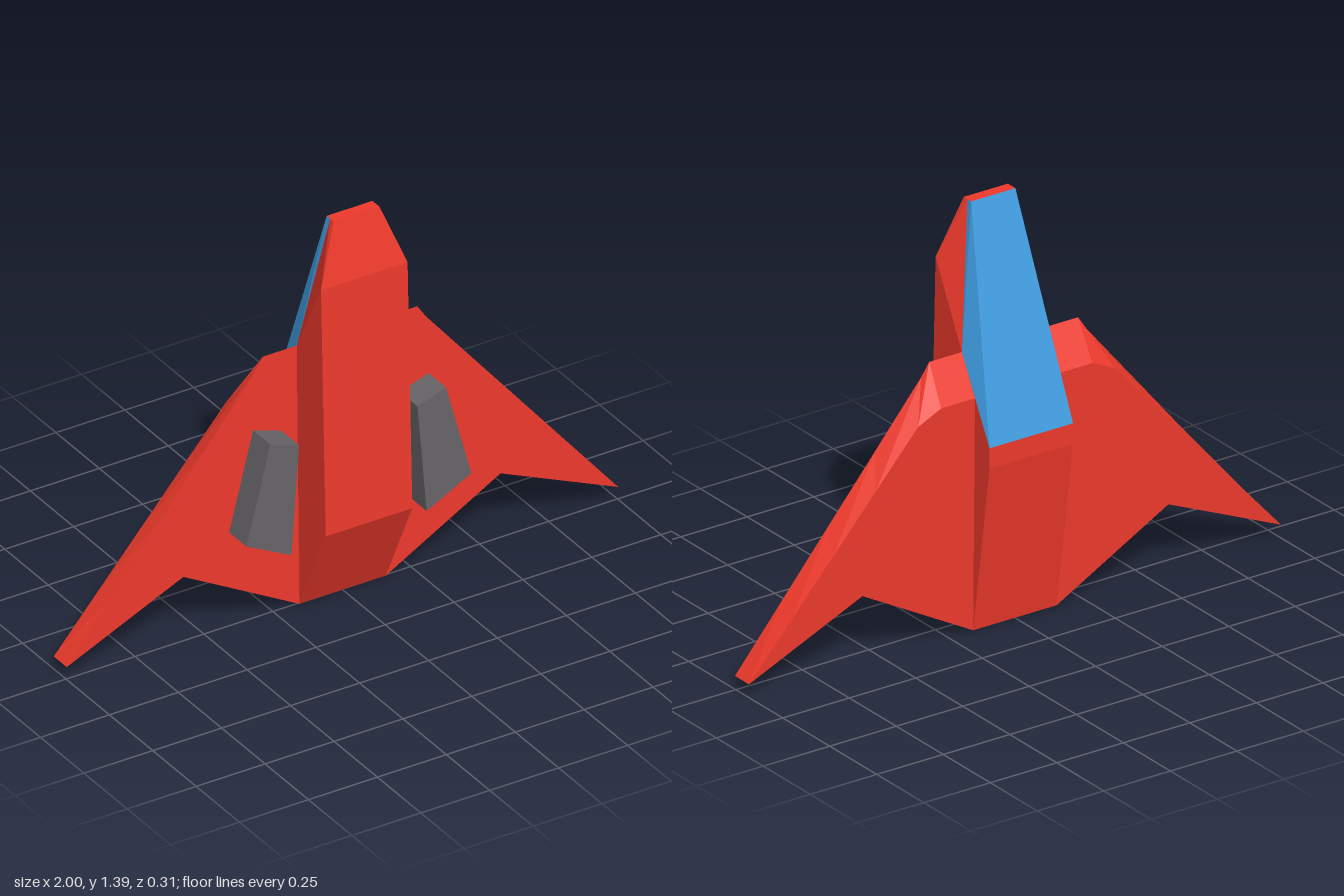
import * as THREE from 'three';

const material = (color) => new THREE.MeshStandardMaterial({ color, flatShading: true });
const red = material(0xee392b), blue = material(0x3f9de2), grey = material(0x676468);

// Mesh from polygons listed counter-clockwise from outside, fanned from their first corner.
function panels(name, faces, mat) {
  const pos = [];
  for (const f of faces)
    for (let i = 1; i < f.length - 1; i++) pos.push(...f[0], ...f[i], ...f[i + 1]);
  const geo = new THREE.BufferGeometry();
  geo.setAttribute('position', new THREE.Float32BufferAttribute(pos, 3));
  geo.computeVertexNormals();
  const mesh = new THREE.Mesh(geo, mat);
  mesh.name = name;
  return mesh;
}

const flip = ([x, y, z]) => [-x, y, z];
// Reverse the winding but keep the corner the fan starts from.
const turn = ([first, ...rest]) => [first, ...rest.reverse()];
const mirror = (faces) => faces.map((f) => turn(f.map(flip)));

// Solid between a front outline and a matching back outline.
function loft(front, back) {
  const faces = [front, turn(back)];
  front.forEach((p, i) => {
    const j = (i + 1) % front.length;
    faces.push([front[j], p, back[i], back[j]]);
  });
  return faces;
}

// Evenly spaced points from a to b, both included.
const line = ([ax, ay], [bx, by], n) => Array.from({ length: n + 1 }, (_, i) =>
  [ax + (bx - ax) * i / n, ay + (by - ay) * i / n]);

export function createModel() {
  const group = new THREE.Group();
  group.name = 'spacecraft';

  // Fuselage stations
  const W = 0.157, N = 0.083;
  const tailFront = [W, 0, 0.005], belly = [W, 0.32, 0.157], chin = [W, 1.19, 0.13];
  const noseFront = [N, 1.39, 0.085], noseMid = [N, 1.39, 0.065], noseBack = [N, 1.39, 0.045];
  const sill = [W, 0.92, -0.01], spineTop = [W, 0.65, -0.157];
  const spineLow = [W, 0.58, -0.157], tailBack = [W, 0, -0.07];
  const strip = (a, b) => [flip(a), a, b, flip(b)];

  // Hull: panels across the width, then both sides
  const across = [
    [tailFront, belly], [belly, chin], [chin, noseFront], [noseFront, noseBack],
    [spineTop, spineLow], [spineLow, tailBack], [tailBack, tailFront],
  ].map(([a, b]) => strip(a, b));
  const hullSide = [
    [tailFront, tailBack, spineLow, spineTop, sill, chin, belly],
    [chin, sill, noseMid, noseFront],
  ];
  group.add(panels('fuselage', [...across, ...hullSide, ...mirror(hullSide)], red));

  // Canopy: back pane and two side panes
  const pane = [[sill, spineTop, noseBack, noseMid]];
  group.add(panels('canopy', [strip(noseBack, spineTop), ...pane, ...mirror(pane)], blue));

  // Wing: starts at the trailing-edge notch; the leading-edge bevel twists towards the tip
  const notch = [0.575, 0.23], tip = [1, 0.045], root = [W, 0];
  const wing = loft(
    [notch, ...line(tip, [0.31, 0.875], 4), [0.28, 0.92], [W, 0.92], root]
      .map(([x, y]) => [x, y, 0.005 - 0.016 * y]),
    [notch, ...line(tip, [0.37, 0.75], 4), [0.284, 0.79], [W, 0.79], root]
      .map(([x, y]) => [x, y, -0.07 - 0.012 * y]),
  );

  // Engine pod on the front of the wing
  const podOutline = [[0.245, 0.252], [0.408, 0.335], [0.318, 0.67], [0.215, 0.635]];
  const pod = loft(
    podOutline.map(([x, y]) => [x, y, 0.103 - 0.012 * y]),
    podOutline.map(([x, y]) => [x, y, -0.02]),
  );

  group.add(panels('leftWing', wing, red), panels('rightWing', mirror(wing), red));
  group.add(panels('leftPod', pod, grey), panels('rightPod', mirror(pod), grey));
  return group;
}
